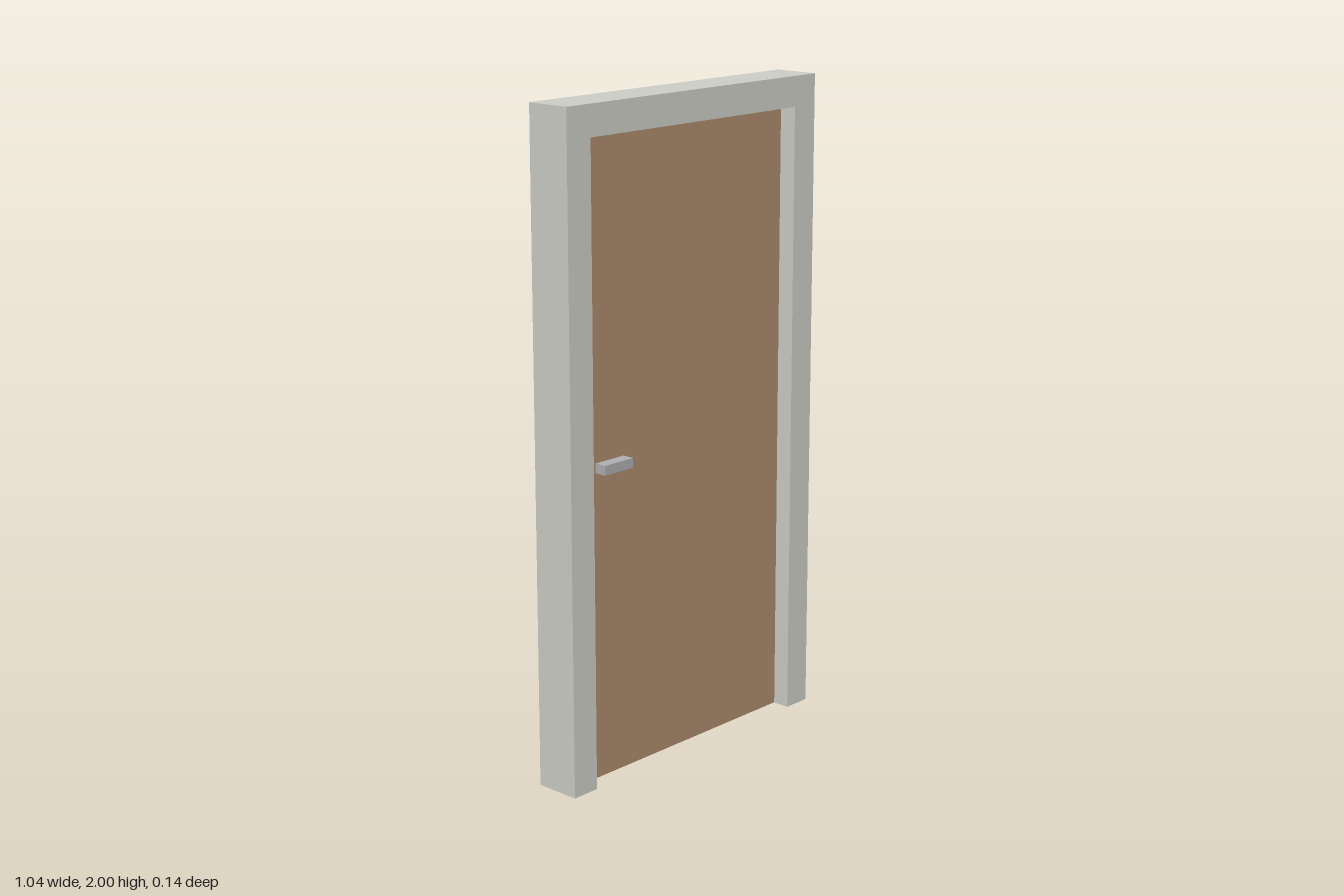
import * as THREE from 'three';

const W = 0.522, H = 2, DEPTH = 0.143; // frame outer half width, height, depth
const OPEN_W = 0.431, OPEN_H = 1.908;  // opening half width and height

function addPart(group, name, geometry, color, x = 0, y = 0, z = 0) {
  const mesh = new THREE.Mesh(geometry, new THREE.MeshStandardMaterial({ color }));
  mesh.name = name;
  mesh.position.set(x, y, z);
  group.add(mesh);
}

export function createModel() {
  const door = new THREE.Group();
  door.name = 'door';

  // Frame: two jambs and a lintel in one piece, open at the floor
  const outline = new THREE.Shape([
    [-W, 0], [-OPEN_W, 0], [-OPEN_W, OPEN_H], [OPEN_W, OPEN_H],
    [OPEN_W, 0], [W, 0], [W, H], [-W, H],
  ].map(([x, y]) => new THREE.Vector2(x, y)));
  const frame = new THREE.ExtrudeGeometry(outline, { depth: DEPTH, bevelEnabled: false });
  addPart(door, 'frame', frame, 0xcfd0c8, 0, 0, -DEPTH / 2);

  // Leaf: thin slab filling the opening, set back from both faces
  const leafDepth = 0.038, gap = 0.002;
  const leaf = new THREE.BoxGeometry(2 * (OPEN_W - gap), OPEN_H - 2 * gap, leafDepth);
  addPart(door, 'leaf', leaf, 0xae8d6e, 0, OPEN_H / 2, 0);

  // Handle: plain bar on the front of the leaf
  const handleDepth = 0.038;
  const handle = new THREE.BoxGeometry(0.114, 0.029, handleDepth);
  addPart(door, 'handle', handle, 0xb0b0b4, -0.314, 0.952, (leafDepth + handleDepth) / 2);

  return door;
}
